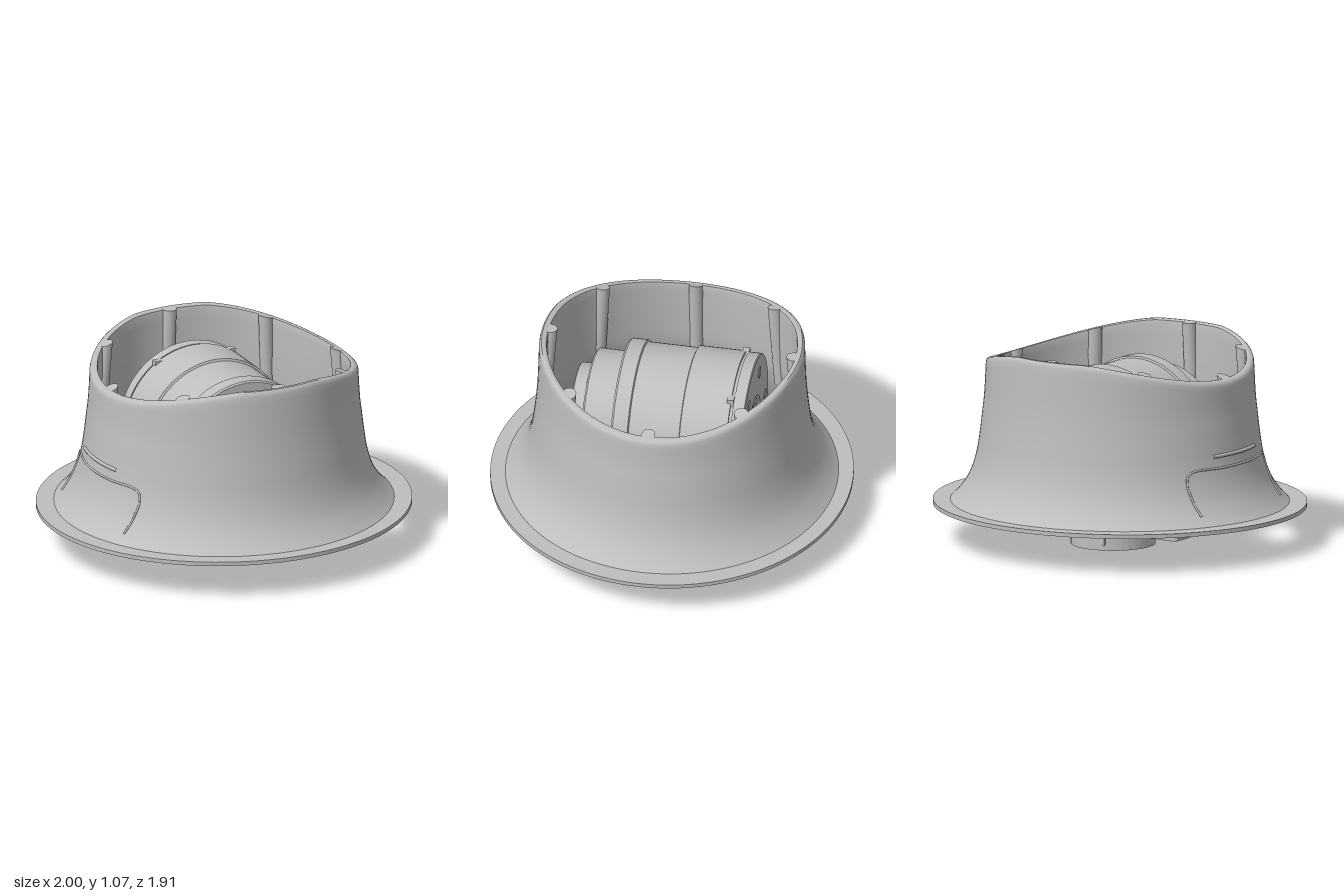
import * as THREE from 'three';
import { toCreasedNormals } from 'three/addons/utils/BufferGeometryUtils.js';

const V2 = (p) => new THREE.Vector2(p[0], p[1]);

export function createModel() {
  const root = new THREE.Group();
  const grey = new THREE.MeshStandardMaterial({ color: 0xbebebe });
  grey.name = 'satin grey';

  const add = (name, geo, x = 0, y = 0, z = 0) => {
    const m = new THREE.Mesh(geo, grey);
    m.name = name;
    m.position.set(x, y, z);
    root.add(m);
  };
  const box = (name, x0, x1, y0, y1, z0, z1) =>
    add(name, new THREE.BoxGeometry(x1 - x0, y1 - y0, z1 - z0), (x0 + x1) / 2, (y0 + y1) / 2, (z0 + z1) / 2);
  const lathe = (pts, seg = 96) => new THREE.LatheGeometry(pts.map(V2), seg);

  // The rim is cut by a curved sheet running along z
  const rimHeight = (x) => Math.min(1.07, 1.082 - 0.29 * x * x);

  // Flared shell
  const outer = [[0.91, 0.215], [0.865, 0.26], [0.815, 0.33], [0.78, 0.41], [0.757, 0.5],
    [0.742, 0.6], [0.728, 0.72], [0.718, 0.85], [0.71, 1.045]];
  const inner = [[0.667, 1.04], [0.672, 0.8], [0.682, 0.6], [0.70, 0.5], [0.73, 0.41],
    [0.765, 0.33], [0.80, 0.26], [0.84, 0.20]];
  const smooth = (pts, n) => new THREE.SplineCurve(pts.map(V2)).getPoints(n).map((q) => [q.x, q.y]);
  const rim = [[0.706, 1.062], [0.697, 1.07], [0.68, 1.07], [0.67, 1.062]];
  const shell = lathe([...smooth(outer, 32), ...rim, ...smooth(inner, 28), [0.91, 0.215]], 128);
  const p = shell.attributes.position;
  for (let i = 0; i < p.count; i++) {
    const y = p.getY(i);
    if (y > 0.7) p.setY(i, 0.7 + (y - 0.7) * (rimHeight(p.getX(i)) - 0.7) / 0.37);
    p.setZ(i, p.getZ(i) * (0.972 + 0.015 * Math.min(1, (y - 0.2) / 0.8)));
  }
  add('flaredShell', toCreasedNormals(shell, 0.7));

  // Oval base flange
  const flange = lathe([[0.835, 0.20], [1, 0.20], [1, 0.222], [0.87, 0.222]], 128);
  flange.scale(1, 1, 0.957);
  add('baseFlange', toCreasedNormals(flange, 0.7));

  // Ribs inside the shell: tops follow the rim cut, feet fade into the wall
  for (let i = 0; i < 8; i++) {
    const sx = Math.sin((i * Math.PI) / 4), sz = Math.cos((i * Math.PI) / 4);
    const rib = new THREE.CylinderGeometry(0.037, 0.037, 1, 20);
    const v = rib.attributes.position;
    for (let k = 0; k < v.count; k++) {
      const top = v.getY(k) > 0;
      const r = top ? 0.662 : 0.705;
      const x = v.getX(k) + r * sx;
      v.setXYZ(k, x, top ? rimHeight(x) - 0.003 : 0.5, v.getZ(k) + r * 0.985 * sz);
    }
    add('innerRib', toCreasedNormals(rib, 0.7));
  }

  // Hatch seam and vent ridge on the shell's side
  const onShell = (y, z) => {
    let k = 0;
    while (k < outer.length - 2 && outer[k + 1][1] < y) k++;
    const [r0, y0] = outer[k], [r1, y1] = outer[k + 1];
    const r = r0 + ((r1 - r0) * (y - y0)) / (y1 - y0);
    return new THREE.Vector3(-Math.sqrt(r * r - (z / 0.978) ** 2), y, z);
  };
  const seam = (name, pts, radius) => {
    const flat = new THREE.CatmullRomCurve3(pts.map(([z, y]) => new THREE.Vector3(0, y, z)));
    const path = new THREE.CatmullRomCurve3(flat.getPoints(50).map((q) => onShell(q.y, q.z)));
    add(name, new THREE.TubeGeometry(path, 100, radius, 8));
  };
  seam('hatchSeam', [[-0.37, 0.27], [-0.37, 0.35], [-0.368, 0.43], [-0.355, 0.475], [-0.32, 0.495], [-0.15, 0.497],
    [0.15, 0.497], [0.32, 0.495], [0.355, 0.475], [0.368, 0.43], [0.37, 0.35], [0.37, 0.27]], 0.006);
  seam('ventRidge', [[-0.19, 0.56], [0, 0.56], [0.19, 0.56]], 0.01);

  // Mounting plate: flat shapes drawn in x and z, then raised along y
  const rect = (T, x0, x1, z0, z1, r) => {
    const s = new T();
    s.moveTo(x0 + r, z0);
    s.lineTo(x1 - r, z0); s.absarc(x1 - r, z0 + r, r, -Math.PI / 2, 0);
    s.lineTo(x1, z1 - r); s.absarc(x1 - r, z1 - r, r, 0, Math.PI / 2);
    s.lineTo(x0 + r, z1); s.absarc(x0 + r, z1 - r, r, Math.PI / 2, Math.PI);
    s.lineTo(x0, z0 + r); s.absarc(x0 + r, z0 + r, r, Math.PI, Math.PI * 1.5);
    return s;
  };
  const hole = (x, z, r) => new THREE.Path().absarc(x, z, r, 0, Math.PI * 2, true);
  const slab = (name, shape, y0, y1) => {
    const g = new THREE.ExtrudeGeometry(shape, { depth: y1 - y0, bevelEnabled: false, curveSegments: 16 });
    g.rotateX(Math.PI / 2);
    add(name, g, 0, y1, 0);
  };
  const plate = rect(THREE.Shape, -0.58, 0.58, -0.37, 0.37, 0.015);
  for (const s of [-1, 1]) {
    for (const z of [-0.295, 0.295]) plate.holes.push(hole(s * 0.535, z, 0.026));
    plate.holes.push(rect(THREE.Path, s * 0.375 - 0.125, s * 0.375 + 0.125, -0.23, -0.03, 0.06));
  }
  slab('mountingPlate', plate, 0.12, 0.168);
  for (const s of [-1, 1]) {
    for (const t of [-1, 1]) {
      const x = s * 0.535;
      const pad = rect(THREE.Shape, x - 0.07, x + 0.07, t * 0.295 - 0.075, t * 0.295 + 0.075, 0.02);
      pad.holes.push(hole(x, t * 0.295, 0.026));
      slab('cornerPad', pad, 0.12, 0.2);
      box('plateSideRail', x - 0.03, x + 0.04, 0.168, 0.2, t * 0.15 - 0.075, t * 0.15 + 0.075);
    }
  }
  box('plateFrontRail', -0.48, 0.48, 0.168, 0.2, 0.28, 0.37);
  box('rearMotorFoot', -0.3, 0.3, 0.125, 0.3, -0.44, -0.365);

  // Screw recesses along the plate's front edge
  for (const x of [-0.26, 0, 0.26]) {
    for (const r of [0.022, 0.042]) {
      add('edgeScrewRing', new THREE.TorusGeometry(r, 0.004, 8, 28), x, x ? 0.165 : 0.175, 0.369);
    }
  }

  // Open ring boss under the plate
  const boss = new THREE.Shape();
  const cz = -0.065, R = 0.225, r = 0.13, gap = 0.56;
  boss.absarc(0, cz, R, Math.PI / 2 + gap, Math.PI * 2.5 - gap, false);
  boss.absarc(0, cz, r, Math.PI * 2.5 - gap, Math.PI / 2 + gap, true);
  for (let i = 0; i < 7; i++) {
    const a = Math.PI / 2 + 0.85 + (i * (Math.PI * 2 - 1.7)) / 6;
    boss.holes.push(hole(0.178 * Math.cos(a), cz + 0.178 * Math.sin(a), 0.02));
  }
  slab('ringBoss', boss, 0, 0.121);
  box('ringBossTab', -0.09, 0.05, 0.03, 0.121, -0.285, -0.24);

  // Motor lying along z
  const cy = 0.56;
  const motor = lathe([[0, -0.425], [0.17, -0.425], [0.18, -0.44], [0.395, -0.44], [0.4, -0.435], [0.4, -0.375],
    [0.39, -0.375], [0.39, -0.36], [0.404, -0.36], [0.404, -0.11], [0.392, -0.105], [0.392, 0.165],
    [0.402, 0.17], [0.402, 0.25], [0.395, 0.26], [0.33, 0.26], [0.33, 0.42], [0.32, 0.43],
    [0.245, 0.43], [0.245, 0.505], [0.24, 0.51], [0.1, 0.51], [0.1, 0.49], [0, 0.49]], 80);
  motor.rotateX(Math.PI / 2);
  add('motorBody', toCreasedNormals(motor, 0.6), 0, cy, 0);

  // Rings of screws on the motor's end faces
  const screws = (name, count, ring, z, size) => {
    for (let i = 0; i < count; i++) {
      const a = ((i + 0.5) / count) * Math.PI * 2;
      const g = new THREE.CylinderGeometry(size, size, 0.012, 20).rotateX(Math.PI / 2);
      add(name, g, ring * Math.sin(a), cy + ring * Math.cos(a), z);
    }
  };
  screws('rearHubScrew', 8, 0.13, -0.423, 0.02);
  screws('rearCapScrew', 6, 0.3, -0.438, 0.032);
  screws('frontRingScrew', 8, 0.285, 0.428, 0.022);
  screws('outputScrew', 6, 0.17, 0.508, 0.024);

  // Small lugs on the motor housing
  for (const s of [-1, 1]) {
    box('rearLug', s * 0.2 - 0.035, s * 0.2 + 0.035, cy + 0.3, cy + 0.352, -0.375, -0.34);
    box('frontLug', s * 0.335 - 0.04, s * 0.335 + 0.04, cy - 0.06, cy + 0.06, 0.26, 0.325);
  }
  return root;
}
